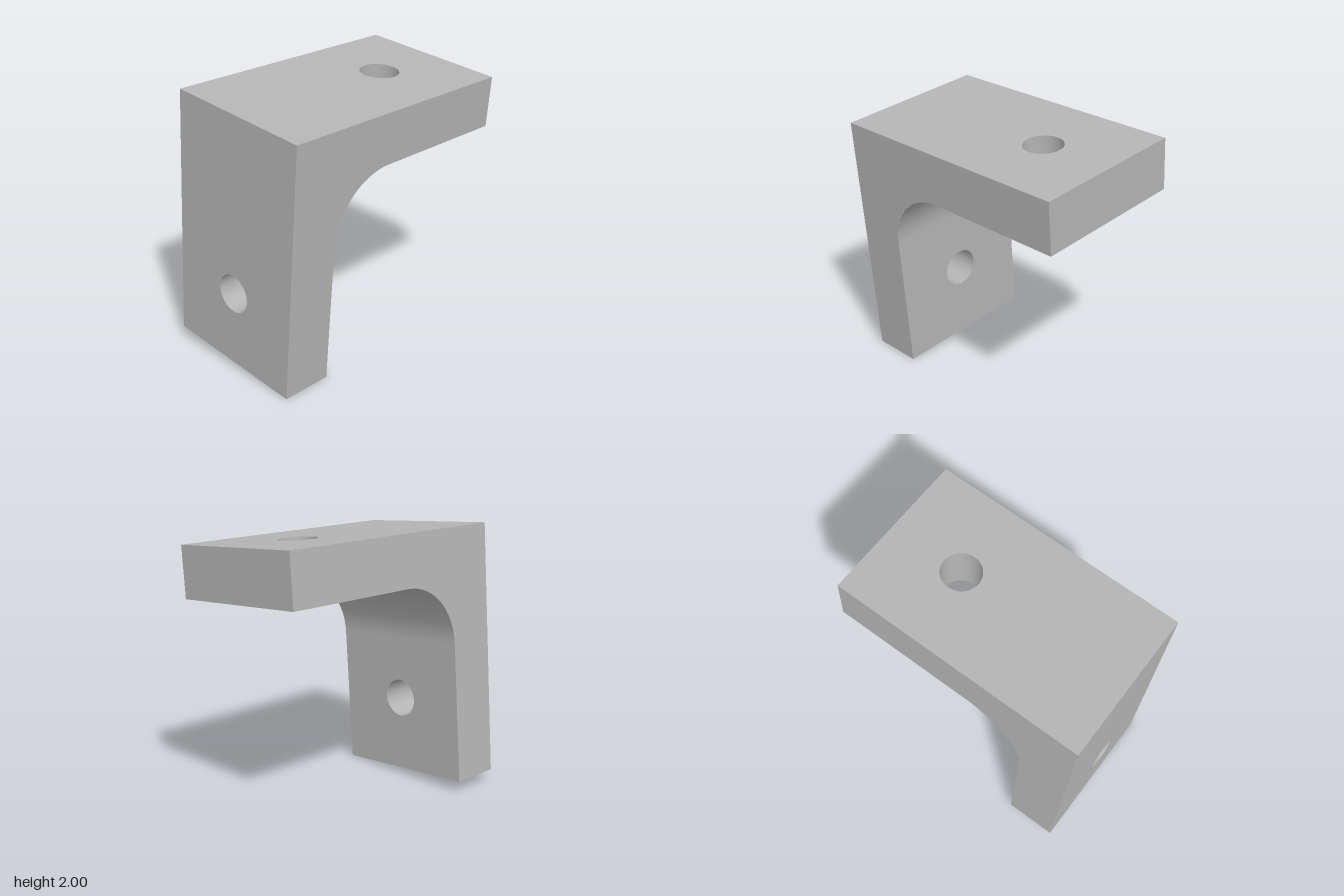
import * as THREE from 'three';

const L = 1.917;           // arm length
const W = 0.6 * L;         // width
const T = 0.2 * L;         // plate thickness
const R = 0.25 * L;        // fillet radius
const BORE = 0.075 * L;    // hole radius
const HOLE_Y = -0.2 * L;   // hole centre along the arm
const h = L / 2;           // outer faces
const i = h - T;           // inner faces
const c = i - R;           // fillet axis
const SEG = 32;

// Turns a surface inside out, for concave walls
function inward(geometry) {
  const index = geometry.index.array;
  for (let k = 0; k < index.length; k += 3) {
    [index[k], index[k + 1]] = [index[k + 1], index[k]];
  }
  const n = geometry.attributes.normal;
  for (let k = 0; k < n.count; k++) n.setXYZ(k, -n.getX(k), -n.getY(k), -n.getZ(k));
  return geometry;
}

// Rectangular face from the arm's end up to the given height, with the bolt hole
function holedFace(top) {
  const shape = new THREE.Shape();
  shape.moveTo(-W / 2, -h).lineTo(W / 2, -h).lineTo(W / 2, top).lineTo(-W / 2, top).closePath();
  const hole = new THREE.Path();
  hole.absarc(0, HOLE_Y, BORE, 0, Math.PI * 2, true);
  shape.holes.push(hole);
  return new THREE.ShapeGeometry(shape, SEG);
}

// L-shaped side face with the rounded inner corner, facing +x
function sideFace() {
  const s = new THREE.Shape();
  s.moveTo(-h, -h).lineTo(-i, -h).lineTo(-i, c);
  s.absarc(-c, c, R, Math.PI, Math.PI / 2, true);
  s.lineTo(h, i).lineTo(h, h).lineTo(-h, h).closePath();
  return new THREE.ShapeGeometry(s, SEG).rotateY(Math.PI / 2).translate(W / 2, 0, 0);
}

export function createModel() {
  const metal = new THREE.MeshStandardMaterial({ color: 0xb4b4b4 });
  metal.name = 'grey metal';

  const add = (parent, name, geometry) => {
    const mesh = new THREE.Mesh(geometry, metal);
    mesh.name = name;
    parent.add(mesh);
  };

  // Upright arm, with one side of the bracket
  const arm = new THREE.Group();
  arm.name = 'uprightArm';
  add(arm, 'outerFace', holedFace(h).translate(0, 0, h));
  add(arm, 'innerFace', holedFace(c).rotateY(Math.PI).translate(0, 0, i));
  add(arm, 'endFace', new THREE.PlaneGeometry(W, T).rotateX(Math.PI / 2).translate(0, -h, h - T / 2));
  add(arm, 'boltHole', inward(new THREE.CylinderGeometry(BORE, BORE, T, SEG, 1, true))
    .rotateX(Math.PI / 2).translate(0, HOLE_Y, h - T / 2));
  add(arm, 'sideFace', sideFace());

  // Level arm: the same half turned about the corner's diagonal
  const levelArm = arm.clone();
  levelArm.name = 'levelArm';
  levelArm.quaternion.setFromAxisAngle(new THREE.Vector3(0, 1, 1).normalize(), Math.PI);

  const bracket = new THREE.Group();
  bracket.name = 'bracket';
  bracket.add(arm, levelArm);

  // Rounded inner corner
  add(bracket, 'fillet', inward(new THREE.CylinderGeometry(R, R, W, SEG, 1, true, 0, Math.PI / 2))
    .rotateZ(Math.PI / 2).translate(0, c, c));

  // Sideways tilt, standing on the lowest corner
  bracket.rotation.z = -THREE.MathUtils.degToRad(4.45);
  bracket.position.y = 1;

  const model = new THREE.Group();
  model.name = 'angleBracket';
  model.add(bracket);
  return model;
}
